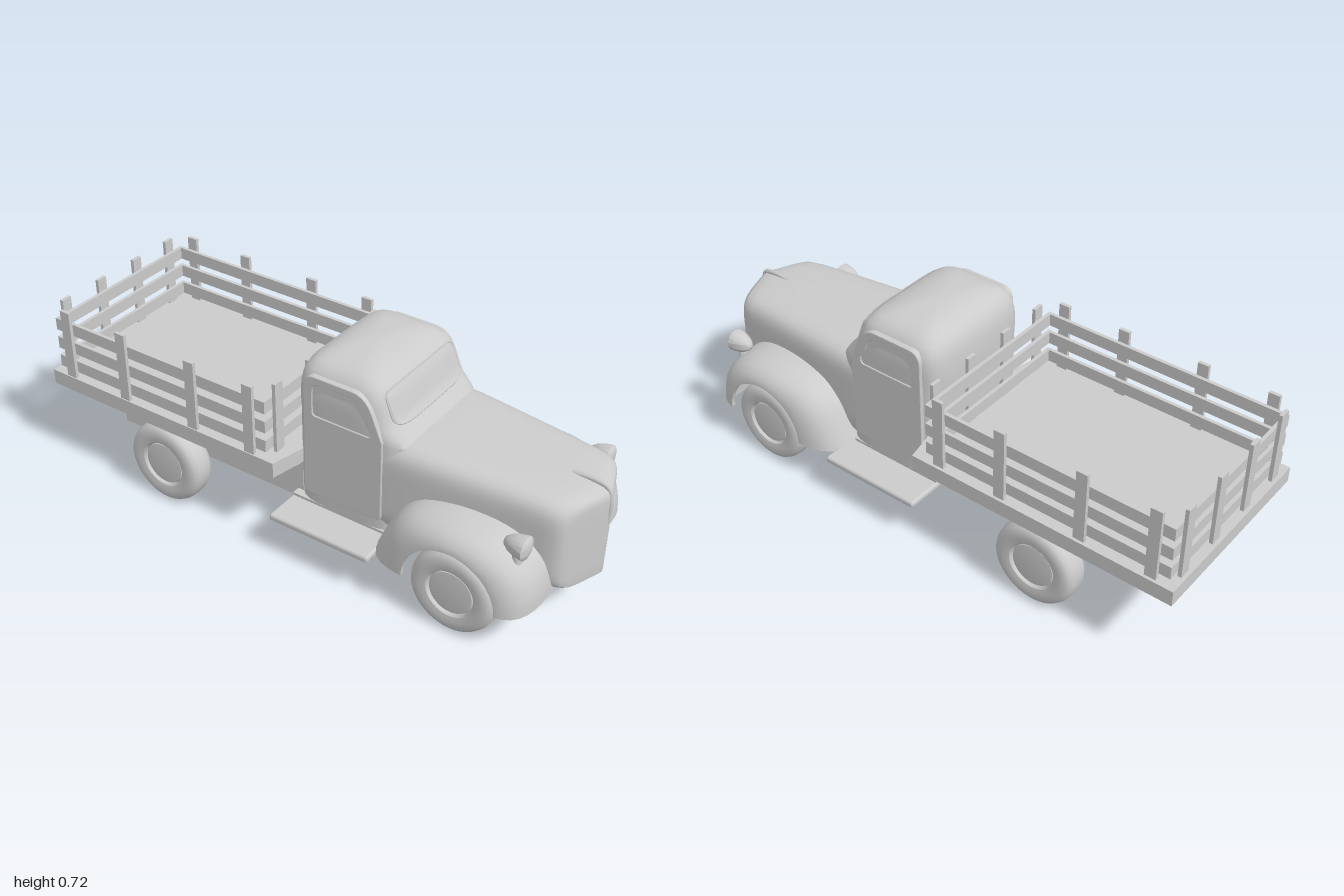
import * as THREE from 'three';
import { toCreasedNormals } from 'three/addons/utils/BufferGeometryUtils.js';
import { RoundedBoxGeometry } from 'three/addons/geometries/RoundedBoxGeometry.js';

const grey = new THREE.MeshStandardMaterial({ color: 0xcccccc });
const thin = new THREE.MeshStandardMaterial({ color: 0xcccccc, side: THREE.DoubleSide });
const V = (x, y, z) => new THREE.Vector3(x, y, z);

function add(parent, name, geometry, x = 0, y = 0, z = 0, material = grey) {
  const mesh = new THREE.Mesh(geometry, material);
  mesh.name = name;
  mesh.position.set(x, y, z);
  parent.add(mesh);
  return mesh;
}

// Box given by its extents
function box(parent, name, x0, x1, y0, y1, z0, z1) {
  return add(parent, name, new THREE.BoxGeometry(x1 - x0, y1 - y0, z1 - z0),
    (x0 + x1) / 2, (y0 + y1) / 2, (z0 + z1) / 2);
}

// Skin through rings of points; the face looks along ring direction x stacking direction
function loft(rings, closed = true, crease = 0.7) {
  const n = rings[0].length, index = [];
  for (let i = 0; i < rings.length - 1; i++) {
    for (let j = 0; j < (closed ? n : n - 1); j++) {
      const k = (j + 1) % n, a = i * n, b = a + n;
      index.push(a + j, a + k, b + k, a + j, b + k, b + j);
    }
  }
  const g = new THREE.BufferGeometry().setFromPoints(rings.flat());
  g.setIndex(index);
  return toCreasedNormals(g, crease);
}

// Unit superellipse outline, counter-clockwise
function squircle(n, count = 80) {
  return Array.from({ length: count }, (_, i) => {
    const a = (i / count) * Math.PI * 2, c = Math.cos(a), s = Math.sin(a);
    const r = 1 / Math.pow(Math.abs(c) ** n + Math.abs(s) ** n, 1 / n);
    return [c * r, s * r];
  });
}

// Cab levels: height, half width, front z, back z
const CAB = [
  [0.16, 0.24, 0.385, -0.02], [0.45, 0.242, 0.4, -0.024], [0.505, 0.242, 0.412, -0.024],
  [0.53, 0.242, 0.392, -0.024], [0.555, 0.242, 0.365, -0.024], [0.58, 0.242, 0.347, -0.023],
  [0.62, 0.241, 0.333, -0.02], [0.655, 0.235, 0.32, -0.013], [0.68, 0.222, 0.305, 0],
  [0.7, 0.195, 0.275, 0.02], [0.712, 0.16, 0.235, 0.05], [0.72, 0.11, 0.2, 0.08],
  [0.724, 0.04, 0.165, 0.12], [0.7245, 0.001, 0.145, 0.143],
];
const CAB_N = 5.5;

function cabGeometry() {
  return loft(CAB.map(([y, w, zf, zb]) => squircle(CAB_N).map(([u, v]) =>
    V(u * w, y, (zf + zb) / 2 - (v * (zf - zb)) / 2))));
}

// z of the cab's front surface at x, y
function cabFront(x, y) {
  const i = CAB.findIndex((s) => s[0] > y), a = CAB[i - 1], b = CAB[i];
  const t = (y - a[0]) / (b[0] - a[0]);
  const [, w, zf, zb] = a.map((v, k) => v + (b[k] - v) * t);
  return (zf + zb) / 2 + ((zf - zb) / 2) * Math.pow(1 - Math.abs(x / w) ** CAB_N, 1 / CAB_N);
}

// Hood: stations along z with a V-shaped nose
function hoodGeometry() {
  const stations = [[0.3, 0.24, 0.52], [0.42, 0.237, 0.519], [0.55, 0.225, 0.513], [0.7, 0.211, 0.506],
    [0.85, 0.2, 0.5], [0.93, 0.195, 0.494], [0.97, 0.19, 0.488], [0.988, 0.18, 0.478], [0.995, 0.168, 0.465]];
  const bottom = 0.165;
  const ring = (z, w, top, s = 1) => squircle(6).map(([u, v]) => {
    const x = u * w * s, h = (top - bottom) / 2;
    const bend = THREE.MathUtils.smoothstep(z, 0.65, 0.98) * 0.37;
    return V(x, bottom + h + v * h * s, z - bend * Math.abs(x));
  });
  const rings = stations.map((s) => ring(...s));
  for (const s of [0.9, 0.6, 0.3, 0.002]) rings.push(ring(0.997, 0.168, 0.465, s));
  return loft(rings);
}

// Windshield panel and seal that follow the cab front
function addWindshield(parent) {
  const at = (s, lift) => squircle(6, 72).map(([u, v]) => {
    const y = 0.618 + v * s * 0.058, x = u * s * 0.193;
    return V(x, y, cabFront(x, y) + lift);
  });
  add(parent, 'windshield', loft([at(1, 0), at(0.985, 0.003), at(0.7, 0.003), at(0.4, 0.003), at(0.002, 0.003)]));
  const seal = new THREE.CatmullRomCurve3(at(1.01, 0.001), true);
  add(parent, 'windshieldSeal', new THREE.TubeGeometry(seal, 144, 0.003, 6, true));
}

// Front fender: section swept from the front lip over the wheel to the running board
function fenderGeometry() {
  const crown = new THREE.CatmullRomCurve3([[0.912, 0.165], [0.907, 0.22], [0.885, 0.285], [0.835, 0.34],
    [0.76, 0.375], [0.66, 0.39], [0.56, 0.385], [0.47, 0.36], [0.41, 0.31], [0.37, 0.235], [0.335, 0.155],
  ].map(([z, y]) => V(0, y, z)));
  // x, and fraction of the way from crown to wheel arch
  const section = [[0.14, 0], [0.24, 0], [0.275, 0.03], [0.305, 0.11], [0.332, 0.25], [0.352, 0.45], [0.364, 0.7],
    [0.37, 0.93], [0.37, 1], [0.355, 1], [0.35, 0.6], [0.14, 0.6]];
  const rings = [];
  for (let i = 0; i <= 40; i++) {
    const t = i / 40, a = Math.PI * t, p = crown.getPoint(t);
    const arch = V(0, 0.16 + 0.163 * Math.sin(a), 0.655 + 0.165 * Math.cos(a));
    rings.push(section.map(([x, f]) => p.clone().lerp(arch, f).setX(x)));
  }
  return loft(rings, true, 0.8);
}

const lathe = (points) => toCreasedNormals(
  new THREE.LatheGeometry(points.map(([r, h]) => new THREE.Vector2(r, h)), 48), 0.65);

function addWheel(parent, name, z) {
  const g = lathe([[0, -0.038], [0.08, -0.038], [0.086, -0.046], [0.105, -0.051], [0.128, -0.049], [0.142, -0.041],
    [0.149, -0.026], [0.151, 0], [0.149, 0.026], [0.142, 0.041], [0.128, 0.049], [0.105, 0.051],
    [0.086, 0.047], [0.081, 0.04], [0.079, 0.034], [0.076, 0.04], [0.06, 0.042], [0, 0.042]]);
  g.rotateZ(-Math.PI / 2);
  add(parent, name, g, 0.306, 0.155, z);
}

// Outline in the side plane (z, y) pushed out along x
function sidePanel(shape, depth) {
  return new THREE.ExtrudeGeometry(shape, { depth, bevelEnabled: true, bevelSize: 0.003, bevelThickness: 0.003,
    bevelSegments: 2, curveSegments: 10 }).rotateY(Math.PI / 2);
}

function addDoor(parent) {
  const trace = (s, { front, back, low, belt, top, slope, r }) => {
    s.moveTo(-front + r, low);
    s.lineTo(-back - r, low);
    s.quadraticCurveTo(-back, low, -back, low + r);
    s.lineTo(-back, top - 0.05);
    s.quadraticCurveTo(-back, top, -back - 0.04, top);
    s.lineTo(-front + slope + 0.05, top);
    s.quadraticCurveTo(-front + slope, top, -front + slope * 0.6, top - 0.06);
    s.lineTo(-front, belt);
    s.lineTo(-front, low + r);
    s.quadraticCurveTo(-front, low, -front + r, low);
    return s;
  };
  const pane = { front: 0.29, back: 0.062, low: 0.522, belt: 0.55, top: 0.65, slope: 0.04, r: 0.018 };
  const door = trace(new THREE.Shape(),
    { front: 0.327, back: 0.034, low: 0.218, belt: 0.52, top: 0.668, slope: 0.06, r: 0.02 });
  door.holes.push(trace(new THREE.Path(), pane));
  add(parent, 'door', sidePanel(door, 0.02), 0.223);
  add(parent, 'doorWindow', sidePanel(trace(new THREE.Shape(), pane), 0.015), 0.223);
}

// Everything that exists once per side, built for the model's left
function buildSide() {
  const side = new THREE.Group();
  add(side, 'frontFender', fenderGeometry(), 0, 0, 0, thin);
  addDoor(side);
  addWheel(side, 'frontWheel', 0.656);
  addWheel(side, 'rearWheel', -0.5);
  add(side, 'runningBoard', new RoundedBoxGeometry(0.17, 0.026, 0.39, 3, 0.01), 0.284, 0.152, 0.168);

  const lamp = lathe([[0, 0], [0.014, 0.006], [0.026, 0.022], [0.035, 0.045], [0.039, 0.066],
    [0.04, 0.076], [0.036, 0.08], [0.02, 0.086], [0, 0.088]]).rotateX(Math.PI / 2);
  add(side, 'headlight', lamp, 0.277, 0.385, 0.787);
  add(side, 'headlightStem', new THREE.CylinderGeometry(0.012, 0.018, 0.06, 16), 0.277, 0.345, 0.835);

  for (const z of [-0.12, -0.36, -0.66, -0.912]) box(side, 'sideStake', 0.33, 0.343, 0.35, 0.618, z - 0.02, z + 0.02);
  for (const y of RAILS) box(side, 'sideRail', 0.317, 0.33, y, y + 0.045, -0.972, -0.06);
  return side;
}

const RAILS = [0.377, 0.451, 0.525];

function addBed(parent) {
  // Deck with its front edge angled in toward the cab
  const plan = new THREE.Shape([[-0.347, 0.998], [0.353, 0.998], [0.353, 0.02], [0.23, -0.006], [-0.23, -0.006],
    [-0.347, 0.02]].map(([x, y]) => new THREE.Vector2(x, y)));
  const deck = new THREE.ExtrudeGeometry(plan, { depth: 0.056, bevelEnabled: false }).rotateX(-Math.PI / 2);
  add(parent, 'bedDeck', deck, 0, 0.302, 0);
  // Front and rear stake fences
  for (const [name, z, out] of [['front', -0.06, 1], ['rear', -0.972, -1]]) {
    const a = Math.min(z, z + out * 0.013), b = Math.min(z, z - out * 0.013);
    for (const x of [-0.268, -0.092, 0.092, 0.268])
      box(parent, name + 'Stake', x - 0.02, x + 0.02, 0.35, 0.618, a, a + 0.013);
    for (const y of RAILS) box(parent, name + 'Rail', -0.33, 0.33, y, y + 0.045, b, b + 0.013);
  }
}

export function createModel() {
  const truck = new THREE.Group();
  truck.name = 'stakeBedTruck';

  add(truck, 'cab', cabGeometry());
  add(truck, 'hood', hoodGeometry());
  addWindshield(truck);
  const trim = new THREE.CatmullRomCurve3([V(0, 0.495, 0.86), V(0, 0.497, 0.94), V(0, 0.485, 0.98),
    V(0, 0.44, 0.992), V(0, 0.36, 0.989)]);
  add(truck, 'hoodTrim', new THREE.TubeGeometry(trim, 30, 0.009, 10));

  // Chassis, floor and axles
  box(truck, 'chassis', -0.21, 0.21, 0.141, 0.303, -0.8, 0);
  box(truck, 'cabFloor', -0.24, 0.24, 0.141, 0.175, -0.022, 0.36);
  box(truck, 'frontFloor', -0.17, 0.17, 0.155, 0.18, 0.36, 0.88);
  for (const z of [0.656, -0.5])
    add(truck, 'axle', new THREE.CylinderGeometry(0.022, 0.022, 0.56, 20).rotateZ(Math.PI / 2), 0, 0.152, z);

  addBed(truck);

  const left = buildSide();
  left.name = 'leftSide';
  const right = left.clone();
  right.name = 'rightSide';
  right.scale.x = -1;
  truck.add(left, right);
  return truck;
}
